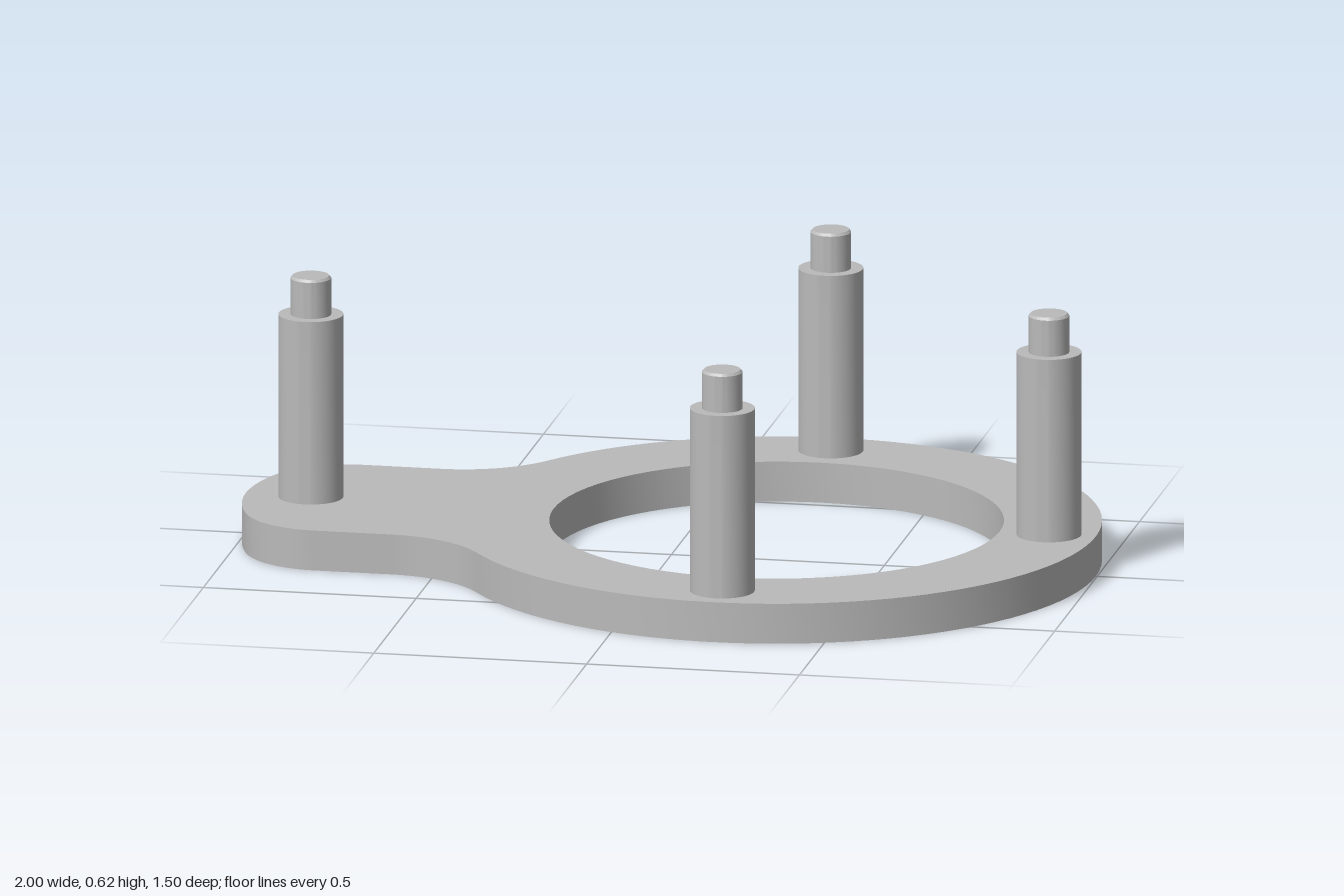
import * as THREE from 'three';
import { toCreasedNormals } from 'three/addons/utils/BufferGeometryUtils.js';

const RING_X = 0.247, OUTER = 0.75, INNER = 0.524;
const PLATE_TOP = 0.095, POST_TOP = 0.53, PIN_TOP = 0.622;

// Ring with a rounded arm, blended by fillets on both sides
function plateGeometry() {
  const armHalf = 0.3, filletX = -0.6, filletR = 0.272, filletY = armHalf + filletR;
  const theta = Math.atan2(filletY, RING_X - filletX);
  const cornerX = -0.78, cornerY = 0.1, cornerR = 0.2;
  const endR = 0.46, endX = -1 + endR;
  const phi = Math.atan2(cornerY, cornerX - endX);
  const PI = Math.PI;

  const s = new THREE.Shape();
  s.absarc(RING_X, 0, OUTER, theta - PI, PI - theta, false);
  s.absarc(filletX, filletY, filletR, -theta, -PI / 2, true);
  s.absarc(cornerX, cornerY, cornerR, PI / 2, phi, false);
  s.absarc(endX, 0, endR, phi, 2 * PI - phi, false);
  s.absarc(cornerX, -cornerY, cornerR, 2 * PI - phi, 1.5 * PI, false);
  s.absarc(filletX, -filletY, filletR, PI / 2, theta, true);

  const hole = new THREE.Path();
  hole.absarc(RING_X, 0, INNER, 0, 2 * PI, true);
  s.holes.push(hole);

  const geo = new THREE.ExtrudeGeometry(s, { depth: PLATE_TOP, bevelEnabled: false, curveSegments: 40 });
  geo.rotateX(-PI / 2);
  return toCreasedNormals(geo, 0.5);
}

// Stepped post: thick shaft, shoulder and a thin pin with a small chamfer
function postGeometry() {
  const profile = [
    [0.075, PLATE_TOP - 0.01], [0.075, POST_TOP], [0.047, POST_TOP],
    [0.047, PIN_TOP - 0.006], [0.042, PIN_TOP], [0, PIN_TOP],
  ].map(([r, y]) => new THREE.Vector2(r, y));
  return toCreasedNormals(new THREE.LatheGeometry(profile, 48), 0.5);
}

export function createModel() {
  const group = new THREE.Group();
  group.name = 'ringBracket';
  const grey = new THREE.MeshStandardMaterial({ color: 0xbababa });
  grey.name = 'grey';

  const plate = new THREE.Mesh(plateGeometry(), grey);
  plate.name = 'basePlate';
  group.add(plate);

  // Three posts on the ring and one on the arm
  const post = postGeometry();
  const places = {
    armPost: [-0.847, 0],
    leftPost: [RING_X + 0.64, 0],
    frontPost: [RING_X, 0.64],
    backPost: [RING_X, -0.64],
  };
  for (const [name, [x, z]] of Object.entries(places)) {
    const mesh = new THREE.Mesh(post, grey);
    mesh.name = name;
    mesh.position.set(x, 0, z);
    group.add(mesh);
  }
  return group;
}
